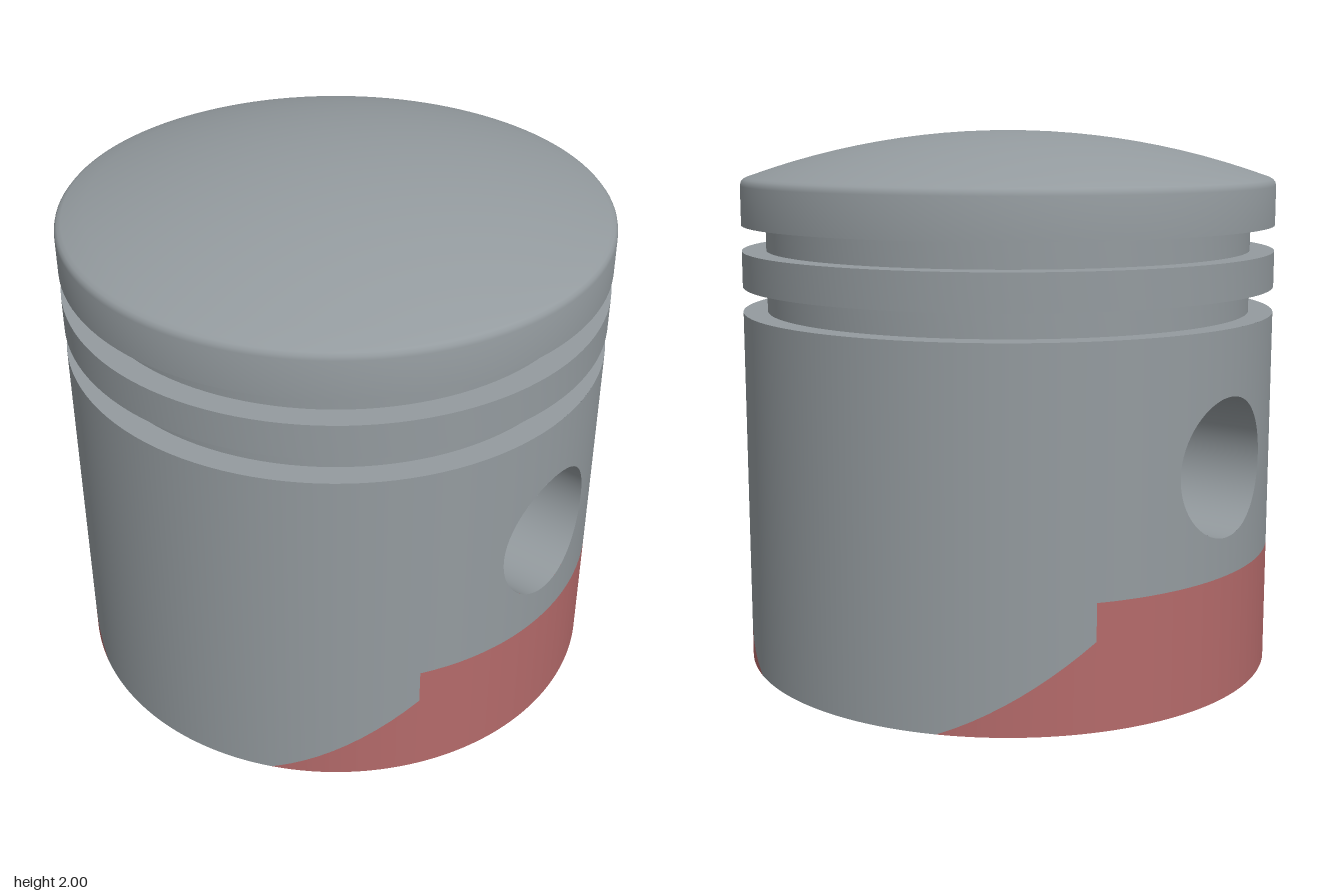
import * as THREE from 'three';
import { toCreasedNormals } from 'three/addons/utils/BufferGeometryUtils.js';

const OUTER = 1, INNER = 0.87, SKIRT_TOP = 1.333, CEILING = 1.6;
const PIN_Y = 0.845, PIN_R = 0.25, BOSS_R = 0.355, BOSS_END = 0.4;
const RED_TOP = 0.455, RED_STEP = 0.32, RED_HALF = 0.543, RED_FOOT = 0.9;

// Height of the red patch and half height of the pin hole at a given z
function redHeight(z) {
  const d = Math.abs(z);
  if (d <= RED_HALF) return RED_TOP;
  return Math.max(0, RED_STEP * (RED_FOOT - d) / (RED_FOOT - RED_HALF));
}
const holeHalf = (z) => Math.sqrt(Math.max(0, PIN_R * PIN_R - z * z));

// Angles of the wall columns over one half turn, with breaks at the hole and patch edges
function columnAngles(r) {
  const angles = [];
  for (let i = 0; i <= 60; i++) angles.push((i / 60 - 0.5) * Math.PI);
  const breaks = [RED_HALF, -RED_HALF, RED_FOOT, -RED_FOOT];
  for (let k = -16; k <= 16; k++) breaks.push(PIN_R * Math.sin(k * Math.PI / 32));
  breaks.filter((z) => Math.abs(z) < r).forEach((z) => angles.push(Math.asin(z / r)));
  angles.sort((a, b) => a - b);
  return angles.filter((a, i) => i === 0 || a - angles[i - 1] > 1e-6);
}

// Curved wall between two heights that depend on z
function wall(r, outward, low, high) {
  const position = [], normal = [];
  const s = outward ? 1 : -1;
  const angles = columnAngles(r);
  for (const turn of [0, Math.PI]) {
    for (let i = 0; i < angles.length - 1; i++) {
      const a = angles[i], b = angles[i + 1], e = (b - a) * 1e-4;
      const za = r * Math.sin(a + e), zb = r * Math.sin(b - e);
      const corners = [[a, low(za)], [a, high(za)], [b, high(zb)], [b, low(zb)]];
      if (corners[1][1] - corners[0][1] < 1e-5 && corners[2][1] - corners[3][1] < 1e-5) continue;
      for (const k of outward ? [0, 1, 2, 0, 2, 3] : [0, 2, 1, 0, 3, 2]) {
        const t = corners[k][0] + turn;
        position.push(r * Math.cos(t), corners[k][1], r * Math.sin(t));
        normal.push(s * Math.cos(t), 0, s * Math.sin(t));
      }
    }
  }
  const g = new THREE.BufferGeometry();
  g.setAttribute('position', new THREE.Float32BufferAttribute(position, 3));
  g.setAttribute('normal', new THREE.Float32BufferAttribute(normal, 3));
  return g;
}

function lathe(points, segments = 120) {
  return new THREE.LatheGeometry(points.map(([x, y]) => new THREE.Vector2(x, y)), segments);
}

export function createModel() {
  const group = new THREE.Group();
  const metal = new THREE.MeshStandardMaterial({ color: 0x949b9f, side: THREE.DoubleSide });
  metal.name = 'grey metal';
  const red = new THREE.MeshStandardMaterial({ color: 0xb46a6a, side: THREE.DoubleSide });
  red.name = 'dull red';
  const add = (name, geometry, material) => {
    const mesh = new THREE.Mesh(geometry, material);
    mesh.name = name;
    group.add(mesh);
    return mesh;
  };

  // Crown: two ring grooves, rounded rim and shallow dome
  const profile = [
    [1, SKIRT_TOP], [0.91, SKIRT_TOP], [0.91, 1.428], [1, 1.428],
    [1, 1.56], [0.91, 1.56], [0.91, 1.655], [1, 1.655],
    [1, 1.8], [0.997, 1.813], [0.989, 1.823], [0.975, 1.83],
  ];
  const domeR = 2.88;
  for (let i = 11; i >= 0; i--) {
    const x = 0.975 * i / 12;
    profile.push([x, 2 - domeR + Math.sqrt(domeR * domeR - x * x)]);
  }
  add('crown', toCreasedNormals(lathe(profile), 0.6), metal);
  add('crownUnderside', lathe([[0, CEILING], [INNER, CEILING]]), metal);

  // Skirt walls, outside and inside, split around the pin hole and the red patches
  const zero = () => 0;
  const holeLow = (z) => PIN_Y - holeHalf(z);
  const holeHigh = (z) => PIN_Y + holeHalf(z);
  for (const [side, r, top] of [['outer', OUTER, SKIRT_TOP], ['inner', INNER, CEILING]]) {
    const out = side === 'outer';
    add(side + 'SkirtPatch', wall(r, out, zero, redHeight), red);
    add(side + 'SkirtLower', wall(r, out, redHeight, holeLow), metal);
    add(side + 'SkirtUpper', wall(r, out, holeHigh, () => top), metal);
  }

  // Bottom rim: red ring with grey segments at front and back
  const a = Math.asin(RED_FOOT);
  const ring = new THREE.Shape();
  ring.absarc(0, 0, OUTER, -a, a, false);
  ring.absarc(0, 0, OUTER, Math.PI - a, Math.PI + a, false);
  ring.holes.push(new THREE.Path().absarc(0, 0, INNER, 0, Math.PI * 2, true));
  add('bottomRim', new THREE.ShapeGeometry(ring, 60).rotateX(Math.PI / 2), red);
  for (const [name, start] of [['frontRim', a], ['backRim', a + Math.PI]]) {
    const segment = new THREE.Shape();
    segment.absarc(0, 0, OUTER, start, start + Math.PI - 2 * a, false);
    add(name, new THREE.ShapeGeometry(segment, 24).rotateX(Math.PI / 2), metal);
  }

  // Pin bosses: bored tubes with a rounded inner end, bore trimmed to the skirt
  const bossProfile = [[PIN_R, 1], [PIN_R, BOSS_END]];
  const f = 0.045;
  for (let i = 0; i <= 6; i++) {
    const t = i / 6 * Math.PI / 2;
    bossProfile.push([BOSS_R - f + f * Math.sin(t), BOSS_END + f - f * Math.cos(t)]);
  }
  bossProfile.push([BOSS_R, 0.88]);
  for (const [name, s] of [['leftPinBoss', 1], ['rightPinBoss', -1]]) {
    const g = lathe(bossProfile, 64);
    const p = g.attributes.position;
    for (let i = 0; i < p.count; i++) {
      if (p.getY(i) > 0.95) p.setY(i, Math.sqrt(1 - p.getZ(i) ** 2));
    }
    g.rotateZ(-s * Math.PI / 2);
    add(name, toCreasedNormals(g, 0.6), metal).position.y = PIN_Y;
  }
  return group;
}
